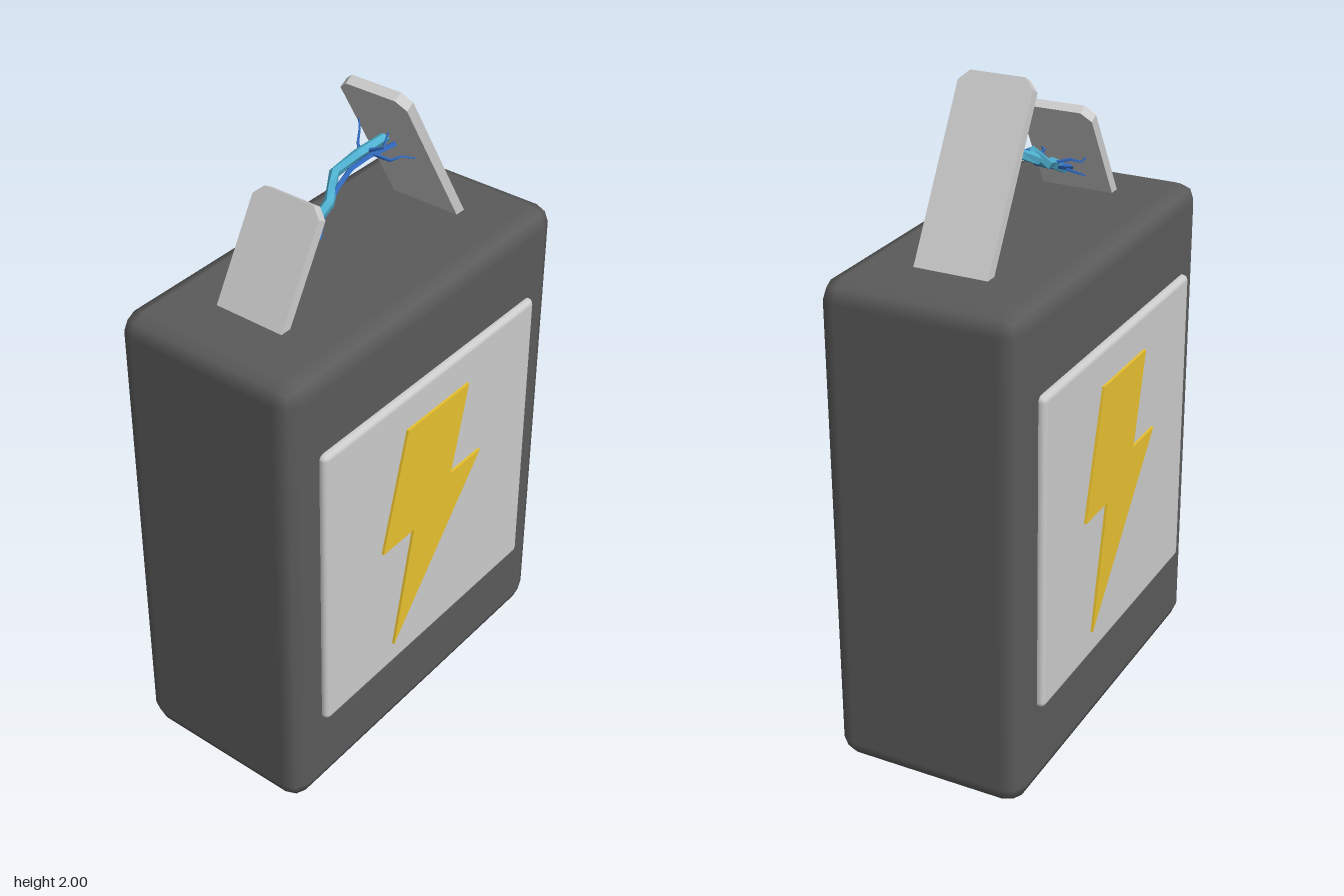
import * as THREE from 'three';
import { RoundedBoxGeometry } from 'three/addons/geometries/RoundedBoxGeometry.js';

const grey = new THREE.MeshStandardMaterial({ color: 0xcccccc });
const dark = new THREE.MeshStandardMaterial({ color: 0x5b5b5b });
const yellow = new THREE.MeshStandardMaterial({ color: 0xe8c130 });
const teal = new THREE.MeshStandardMaterial({ color: 0x4fb0d0, flatShading: true });
const blue = new THREE.MeshStandardMaterial({ color: 0x2f66b8, flatShading: true });

function add(parent, name, geometry, material) {
  const mesh = new THREE.Mesh(geometry, material);
  mesh.name = name;
  parent.add(mesh);
  return mesh;
}

function shapeOf(points) {
  return new THREE.Shape(points.map(([x, y]) => new THREE.Vector2(x, y)));
}

// Flat plate with clipped top corners, leaning towards the middle
function electrode(parent, name, z, length, lean) {
  const w = 0.113, c = 0.03, t = 0.031, sunk = -0.04;
  const shape = shapeOf([[-w, sunk], [w, sunk], [w, length - c], [w - c, length], [c - w, length], [-w, length - c]]);
  const geometry = new THREE.ExtrudeGeometry(shape, { depth: t, bevelEnabled: false });
  geometry.translate(0, 0, -t / 2);
  const mesh = add(parent, name, geometry, grey);
  mesh.position.set(0, 1.525, z);
  mesh.rotation.x = lean;
}

// Jagged tapered strand: a cylinder whose rings are moved onto the path points
function strand(parent, name, path, radius, endRadius, sides, material) {
  const pts = path.map((p) => new THREE.Vector3(...p));
  const last = pts.length - 1;
  const geometry = new THREE.CylinderGeometry(1, 1, 1, sides, last);
  const up = new THREE.Vector3(0, 1, 0);
  const turns = pts.map((p, i) => new THREE.Quaternion().setFromUnitVectors(
    up, pts[Math.min(i + 1, last)].clone().sub(pts[Math.max(i - 1, 0)]).normalize()));
  const pos = geometry.attributes.position;
  const v = new THREE.Vector3();
  for (let k = 0; k < pos.count; k++) {
    v.fromBufferAttribute(pos, k);
    const i = Math.round((v.y + 0.5) * last);
    v.y = 0;
    v.multiplyScalar(THREE.MathUtils.lerp(radius, endRadius, i / last));
    v.applyQuaternion(turns[i]).add(pts[i]);
    pos.setXYZ(k, v.x, v.y, v.z);
  }
  geometry.computeVertexNormals();
  add(parent, name, geometry, material);
}

export function createModel() {
  const model = new THREE.Group();
  model.name = 'battery';

  // Body
  add(model, 'body', new RoundedBoxGeometry(0.606, 1.525, 1.214, 1, 0.06), dark).position.y = 0.7625;

  // Side panels with lightning signs, the second turned half round
  const sign = shapeOf([[-0.133, 1.15], [-0.239, 0.766], [-0.095, 0.766], [-0.18, 0.371],
    [0.228, 0.866], [0.08, 0.866], [0.153, 1.15]]);
  for (const [side, turn] of [['left', 0], ['right', Math.PI]]) {
    const group = new THREE.Group();
    group.name = side + 'Side';
    group.rotation.y = turn;
    add(group, side + 'Panel', new RoundedBoxGeometry(0.06, 0.98, 0.976, 2, 0.018), grey)
      .position.set(0.294, 0.775, 0);
    const bolt = add(group, side + 'LightningSign',
      new THREE.ExtrudeGeometry(sign, { depth: 0.022, bevelEnabled: false }), yellow);
    bolt.position.x = 0.31;
    bolt.rotation.y = Math.PI / 2;
    model.add(group);
  }

  // Electrodes
  electrode(model, 'frontElectrode', 0.39, 0.337, -Math.PI / 6);
  electrode(model, 'backElectrode', -0.389, 0.54, Math.PI / 6);

  // Electric arc between the electrodes
  const arc = new THREE.Group();
  arc.name = 'electricArc';
  model.add(arc);
  strand(arc, 'mainArc', [[0.03, 1.59, 0.34], [0.015, 1.645, 0.22], [-0.012, 1.67, 0.14], [0, 1.725, 0.07],
    [-0.03, 1.735, 0.02], [-0.07, 1.745, -0.04], [-0.045, 1.78, -0.11], [-0.03, 1.795, -0.22]],
  0.017, 0.016, 5, teal);
  strand(arc, 'thinArc', [[0, 1.6, 0.335], [0.02, 1.635, 0.22], [0.03, 1.665, 0.15], [-0.005, 1.7, 0.09],
    [-0.015, 1.745, 0.01], [-0.03, 1.76, -0.06], [-0.02, 1.775, -0.13], [0.005, 1.785, -0.215]],
  0.009, 0.009, 4, blue);

  // Fine branches at both ends
  const branches = [
    [[0.02, 1.65, 0.21], [0.06, 1.66, 0.25], [0.07, 1.655, 0.29], [0.085, 1.665, 0.297]],
    [[0.015, 1.64, 0.23], [-0.03, 1.65, 0.26], [-0.05, 1.635, 0.29], [-0.06, 1.65, 0.305]],
    [[0.02, 1.62, 0.28], [0.04, 1.61, 0.31], [0.06, 1.625, 0.32]],
    [[0.02, 1.61, 0.29], [-0.02, 1.59, 0.32], [-0.04, 1.575, 0.345]],
    [[-0.045, 1.775, -0.12], [-0.075, 1.79, -0.15], [-0.085, 1.82, -0.17], [-0.1, 1.84, -0.186]],
    [[-0.03, 1.785, -0.14], [0.01, 1.8, -0.155], [0.0, 1.83, -0.19]],
    [[-0.04, 1.78, -0.13], [-0.08, 1.765, -0.17], [-0.1, 1.745, -0.23]],
    [[-0.02, 1.78, -0.14], [0.03, 1.765, -0.16], [0.045, 1.77, -0.19], [0.06, 1.75, -0.235]],
  ];
  branches.forEach((path, i) => strand(arc, 'branch' + (i + 1), path, 0.006, 0.003, 4, blue));

  return model;
}
